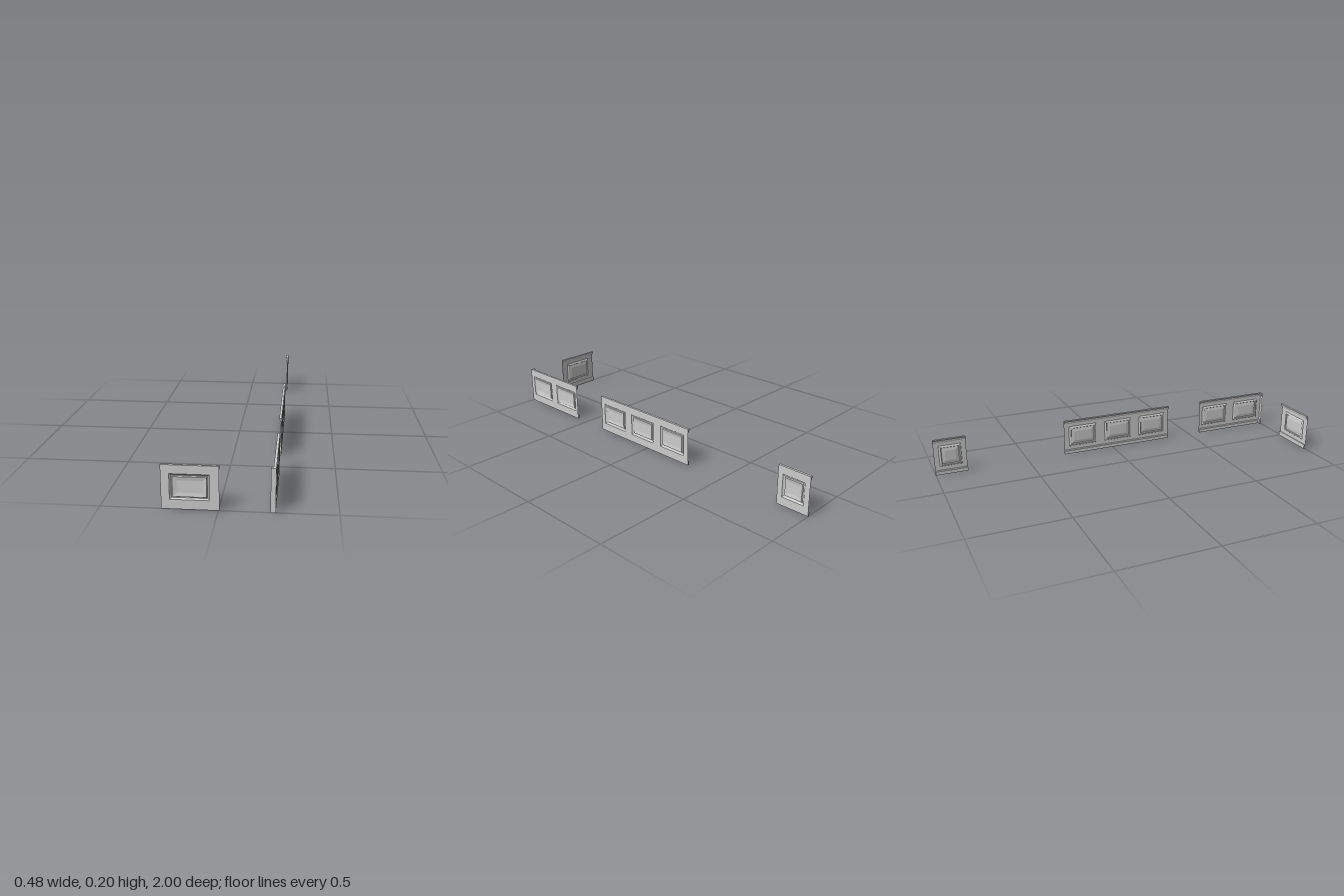
import * as THREE from 'three';

const HEIGHT = 0.197;
const PANEL_Y = [0.043, 0.158];

// Profiles as [distance in front of the wall, height]
const BASE = [[0, 0], [0.0095, 0], [0.0095, 0.019], [0.007, 0.022], [0, 0.022]];
const CAP = [[0, 0.178], [0.004, 0.178], [0.006, 0.183], [0.008, 0.183], [0.009, 0.189],
  [0.012, 0.193], [0.012, HEIGHT], [0, HEIGHT]];
// Panel steps as [inset from the outer edge, distance in front of the wall]
const STEPS = [[0, 0], [0.002, 0.003], [0.007, 0.006], [0.01, 0.006], [0.013, 0.001], [0.03, 0.004]];

const material = new THREE.MeshStandardMaterial({
  color: 0xcccccc, side: THREE.DoubleSide, flatShading: true,
});

function addMesh(group, name, geometry) {
  const mesh = new THREE.Mesh(geometry, material);
  mesh.name = name;
  group.add(mesh);
}

// Straight moulding running along local x
function moulding(profile, length) {
  const shape = new THREE.Shape(profile.map(([d, y]) => new THREE.Vector2(-d, y)));
  const geometry = new THREE.ExtrudeGeometry(shape, { depth: length, bevelEnabled: false });
  return geometry.rotateY(Math.PI / 2);
}

// Flat sheet with an opening for each panel
function wallSheet(length, panels) {
  const [y0, y1] = PANEL_Y;
  const rect = (a, b, c, d) => [[a, c], [b, c], [b, d], [a, d]].map(([x, y]) => new THREE.Vector2(x, y));
  const shape = new THREE.Shape(rect(0, length, 0, HEIGHT));
  for (const [a, b] of panels) shape.holes.push(new THREE.Path(rect(a, b, y0, y1).reverse()));
  return new THREE.ShapeGeometry(shape);
}

// Framed panel with a bevelled field, made of nested rectangles
function raisedPanel(a, b) {
  const [y0, y1] = PANEL_Y;
  const positions = [];
  const index = [];
  STEPS.forEach(([inset, d], ring) => {
    const l = a + inset, r = b - inset, bottom = y0 + inset, top = y1 - inset;
    positions.push(l, bottom, d, r, bottom, d, r, top, d, l, top, d);
    if (ring === 0) return;
    for (let i = 0; i < 4; i++) {
      const j = (i + 1) % 4, outer = (ring - 1) * 4, inner = ring * 4;
      index.push(outer + i, outer + j, inner + j, outer + i, inner + j, inner + i);
    }
  });
  const last = (STEPS.length - 1) * 4;
  index.push(last, last + 1, last + 2, last, last + 2, last + 3);
  const geometry = new THREE.BufferGeometry();
  geometry.setAttribute('position', new THREE.Float32BufferAttribute(positions, 3));
  geometry.setIndex(index);
  const flat = geometry.toNonIndexed();
  flat.computeVertexNormals();
  return flat;
}

// One run of panelling: local x along the wall, +z into the room
function panelling(name, length, panels) {
  const group = new THREE.Group();
  group.name = name;
  addMesh(group, 'wallSheet', wallSheet(length, panels));
  addMesh(group, 'baseboard', moulding(BASE, length));
  addMesh(group, 'capRail', moulding(CAP, length));
  for (const [a, b] of panels) addMesh(group, 'raisedPanel', raisedPanel(a, b));
  return group;
}

export function createModel() {
  const model = new THREE.Group();
  model.name = 'wallPanelling';

  // Side wall runs, facing -x: [name, z start, z end, panel z ranges]
  const sideRuns = [
    ['sideFrontRun', 0.57, 1, [[0.59, 0.756], [0.807, 0.973]]],
    ['sideMiddleRun', -0.287, 0.358, [[-0.257, -0.096], [-0.043, 0.118], [0.17, 0.331]]],
    ['sideBackRun', -1, -0.83, [[-0.973, -0.857]]],
  ];
  for (const [name, start, end, panels] of sideRuns) {
    const run = panelling(name, end - start, panels.map(([a, b]) => [a - start, b - start]));
    run.rotation.y = -Math.PI / 2;
    run.position.set(0.238, 0, start);
    model.add(run);
  }

  // Front wall run and the short corner return, facing -z
  const front = panelling('frontRun', 0.244, [[0.04, 0.208]]);
  front.position.set(0.005, 0, 1);
  const corner = panelling('cornerReturn', 0.022, []);
  corner.position.set(0.238, 0, 1);
  for (const run of [front, corner]) {
    run.rotation.y = Math.PI;
    model.add(run);
  }
  return model;
}
